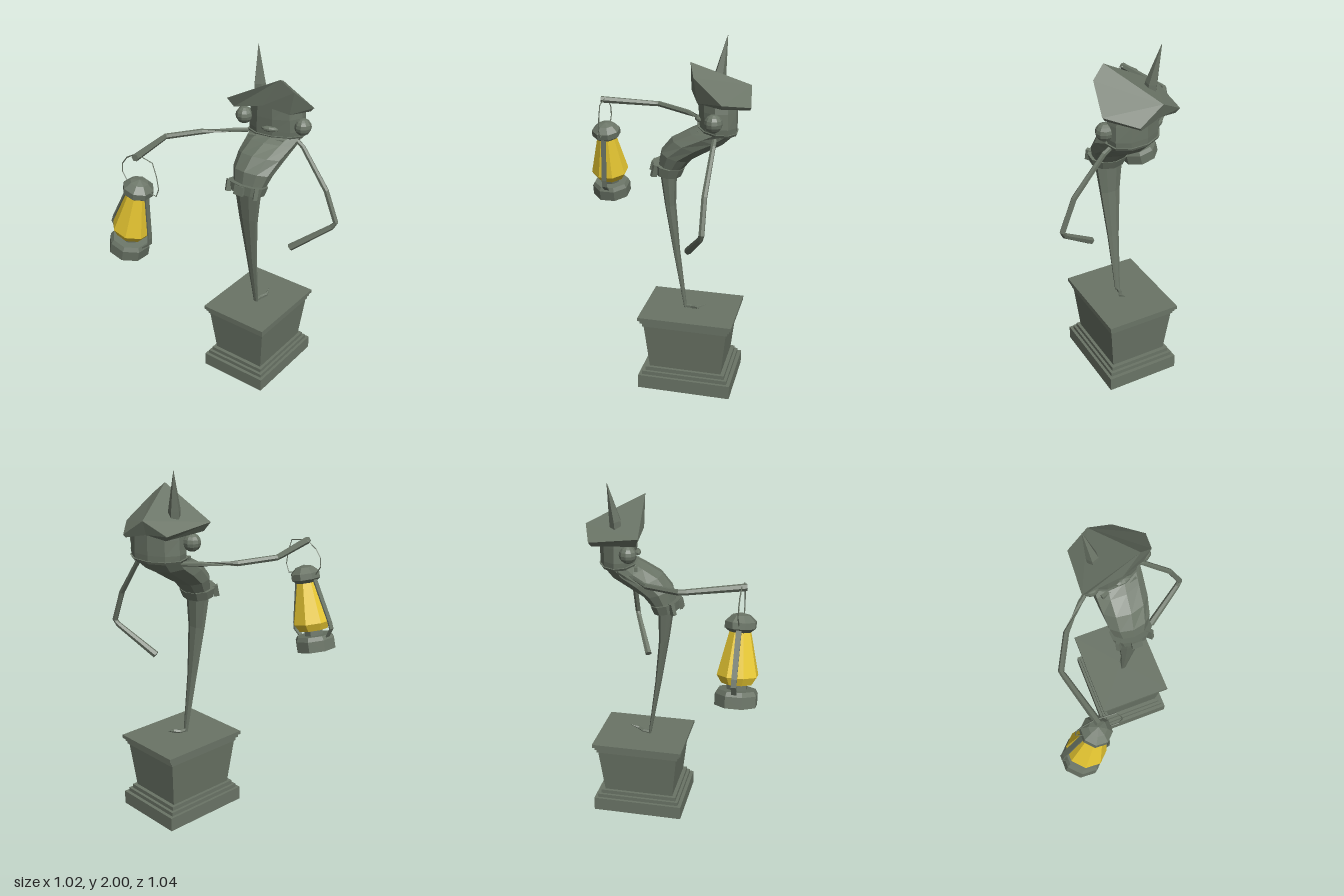
import * as THREE from 'three';

const stone = new THREE.MeshStandardMaterial({ color: 0x6a7466, flatShading: true, side: THREE.DoubleSide });
const glass = new THREE.MeshStandardMaterial({ color: 0xe8c832, flatShading: true, side: THREE.DoubleSide });
const V = (x, y, z) => new THREE.Vector3(x, y, z);

function add(parent, name, geometry, x = 0, y = 0, z = 0, material = stone) {
  const mesh = new THREE.Mesh(geometry, material);
  mesh.name = name;
  mesh.position.set(x, y, z);
  parent.add(mesh);
  return mesh;
}

// Skin a stack of equal-length rings and close both ends with fans
function loft(rings, topCentre) {
  const pos = [];
  const tri = (...pts) => pts.forEach(p => pos.push(p.x, p.y, p.z));
  const mid = ring => ring.reduce((s, p) => s.add(p), V(0, 0, 0)).divideScalar(ring.length);
  const n = rings[0].length, last = rings[rings.length - 1];
  const lowMid = mid(rings[0]), topMid = topCentre || mid(last);
  for (let i = 0; i < n; i++) {
    const j = (i + 1) % n;
    for (let k = 0; k + 1 < rings.length; k++) {
      const a = rings[k], b = rings[k + 1];
      tri(a[i], b[i], a[j]);
      tri(a[j], b[i], b[j]);
    }
    tri(lowMid, rings[0][i], rings[0][j]);
    tri(topMid, last[j], last[i]);
  }
  const g = new THREE.BufferGeometry();
  g.setAttribute('position', new THREE.Float32BufferAttribute(pos, 3));
  g.computeVertexNormals();
  return g;
}

// Elliptical ring, front edge raised by tilt, turned by yaw
function ring([x, y, z, rx, rz, tilt = 0, yaw = 0], n = 10) {
  return Array.from({ length: n }, (_, i) => {
    const a = (i + 0.5) / n * Math.PI * 2;
    return V(rx * Math.cos(a), 0, rz * Math.sin(a))
      .applyAxisAngle(V(1, 0, 0), -tilt).applyAxisAngle(V(0, 1, 0), yaw).add(V(x, y, z));
  });
}

// Jointed limb or wire: points with a radius at each one
function limb(points, radii, n = 6) {
  const p = points.map(q => V(...q));
  return loft(p.map((c, i) => {
    const t = p[Math.min(i + 1, p.length - 1)].clone().sub(p[Math.max(i - 1, 0)]).normalize();
    const ref = Math.abs(t.z) < 0.8 ? V(0, 0, 1) : V(0, 1, 0);
    const u = ref.cross(t).normalize(), w = u.clone().cross(t);
    const r = Array.isArray(radii) ? radii[i] : radii;
    return Array.from({ length: n }, (_, k) => {
      const a = k / n * Math.PI * 2;
      return c.clone().addScaledVector(u, r * Math.cos(a)).addScaledVector(w, r * Math.sin(a));
    });
  }));
}

// Rectangular frustum from half sizes at the bottom and top
function slab(y0, y1, x0, z0, x1 = x0, z1 = z0) {
  const corners = (x, y, z) => [V(x, y, -z), V(x, y, z), V(-x, y, z), V(-x, y, -z)];
  return loft([corners(x0, y0, z0), corners(x1, y1, z1)]);
}

function makePedestal() {
  const g = new THREE.Group();
  g.name = 'pedestal';
  g.position.set(0.07, 0, -0.205);
  add(g, 'plinth', slab(0, 0.08, 0.214, 0.267));
  add(g, 'lowerStep', slab(0.08, 0.102, 0.198, 0.247));
  add(g, 'upperStep', slab(0.102, 0.125, 0.183, 0.23));
  add(g, 'taperedBlock', slab(0.125, 0.395, 0.166, 0.208, 0.194, 0.237));
  add(g, 'capMoulding', slab(0.392, 0.412, 0.199, 0.245));
  add(g, 'capStep', slab(0.412, 0.432, 0.206, 0.256));
  add(g, 'capSlab', slab(0.43, 0.45, 0.214, 0.268));
  return g;
}

function makeHat() {
  const g = new THREE.Group();
  g.name = 'hat';
  // Rims run from the right-hand point round the front to the back
  const top = [[0.283, 1.70, -0.39], [0.25, 1.83, -0.235], [0.178, 1.895, -0.205], [-0.146, 1.725, -0.17],
    [-0.125, 1.685, -0.45], [0.005, 1.755, -0.5], [0.145, 1.665, -0.52]].map(p => V(...p));
  const low = [[0.265, 1.677, -0.385], [0.215, 1.69, -0.25], [0.08, 1.73, -0.19], [-0.113, 1.675, -0.19],
    [-0.105, 1.66, -0.44], [0.005, 1.68, -0.48], [0.135, 1.65, -0.513]].map(p => V(...p));
  add(g, 'foldedHat', loft([low, top], top[5]));
  add(g, 'hatSpike', limb([[-0.025, 1.7, -0.315], [-0.034, 1.79, -0.32], [-0.068, 2, -0.352]], [0.034, 0.034, 0.001], 5));
  return g;
}

function makeLantern() {
  const g = new THREE.Group();
  g.name = 'lantern';
  g.position.set(-0.402, 0.945, 0.41);
  g.rotation.z = -0.24;
  const turned = (name, profile, mat) => {
    const m = add(g, name, new THREE.LatheGeometry(profile.map(p => new THREE.Vector2(...p)), 8), 0, 0, 0, mat);
    m.rotation.y = Math.PI / 8;
  };
  turned('lanternBase', [[0, 0], [0.116, 0], [0.116, 0.062], [0.102, 0.085], [0.055, 0.085], [0.055, 0.118], [0, 0.118]]);
  turned('lanternGlass', [[0, 0.117], [0.085, 0.117], [0.112, 0.16], [0.057, 0.393], [0, 0.393]], glass);
  turned('lanternCap', [[0, 0.385], [0.055, 0.385], [0.085, 0.408], [0.085, 0.442], [0.05, 0.474], [0, 0.487]]);
  // Flat side guards
  for (const s of [-1, 1]) {
    const path = [[0.10, 0.07], [0.14, 0.118], [0.135, 0.16], [0.068, 0.41]];
    const outline = new THREE.Shape([...path, ...path.slice().reverse().map(([r, y]) => [r - 0.009, y])]
      .map(([r, y]) => new THREE.Vector2(s * r, y)));
    add(g, 'lanternGuard', new THREE.ExtrudeGeometry(outline, { depth: 0.028, bevelEnabled: false }), 0, 0, -0.014);
  }
  return g;
}

export function createModel() {
  const root = new THREE.Group();
  root.name = 'lanternSpirit';
  root.add(makePedestal(), makeHat(), makeLantern());

  // Tapering tail and its curled end
  add(root, 'tail', loft([
    [0.075, 0.45, -0.17, 0.016, 0.008], [0.075, 0.8, -0.115, 0.036, 0.018],
    [0.076, 1.08, -0.078, 0.062, 0.029, 0.1], [0.078, 1.27, -0.066, 0.085, 0.045, 0.2],
  ].map(s => ring(s, 8))));
  add(root, 'tailCurl', limb([[0.075, 0.456, -0.165], [0.08, 0.456, -0.21], [0.1, 0.464, -0.245], [0.09, 0.482, -0.29]],
    [0.01, 0.012, 0.01, 0.001], 5));

  // Backward-leaning torso
  add(root, 'torso', loft([
    [0.078, 1.27, -0.065, 0.09, 0.06, 0.22], [0.078, 1.37, -0.112, 0.122, 0.088, 0.28],
    [0.08, 1.435, -0.19, 0.137, 0.108, 0.32, 0.08], [0.08, 1.485, -0.28, 0.148, 0.105, 0.3, 0.18],
    [0.08, 1.525, -0.335, 0.155, 0.1, 0.12, 0.28],
  ].map(s => ring(s))));

  // Belt with buckle and loops
  add(root, 'belt', loft([[0.078, 1.26, -0.06, 0.105, 0.078, 0.23], [0.078, 1.312, -0.07, 0.12, 0.09, 0.23]].map(s => ring(s))));
  add(root, 'buckle', new THREE.BoxGeometry(0.06, 0.052, 0.016), 0.08, 1.302, 0.02).rotation.x = -0.23;
  for (const s of [-1, 1]) {
    const loop = add(root, 'beltLoop', new THREE.BoxGeometry(0.022, 0.066, 0.03), 0.078 + s * 0.092, 1.295, -0.012);
    loop.rotation.set(-0.23, s * 0.7, 0);
  }

  // Head, turned a little to its left
  add(root, 'head', loft([
    [0.08, 1.525, -0.34, 0.16, 0.1, 0.08, 0.29], [0.081, 1.56, -0.34, 0.165, 0.102, 0.05, 0.29],
    [0.082, 1.64, -0.337, 0.16, 0.105, 0, 0.29], [0.08, 1.72, -0.335, 0.15, 0.106, 0, 0.29],
  ].map(s => ring(s))));
  add(root, 'lip', loft([
    [0.08, 1.518, -0.338, 0.163, 0.104, 0.08, 0.29], [0.08, 1.532, -0.338, 0.172, 0.11, 0.08, 0.29],
  ].map(s => ring(s))));
  for (const [x, y, z] of [[-0.08, 1.618, -0.243], [0.245, 1.596, -0.342]])
    add(root, 'eye', new THREE.SphereGeometry(0.049, 10, 8), x, y, z);
  const nose = add(root, 'nose', new THREE.SphereGeometry(0.05, 8, 5), 0.1, 1.582, -0.235);
  nose.scale.set(1, 0.32, 0.4);
  nose.rotation.y = 0.29;
  for (const [x, z] of [[0.0, -0.222], [0.15, -0.248]])
    add(root, 'tooth', new THREE.BoxGeometry(0.06, 0.022, 0.02), x, 1.517, z).rotation.y = 0.29;

  // Arms: one bent at the side, one holding the lantern
  add(root, 'leftArm', limb([[0.19, 1.515, -0.345], [0.25, 1.475, -0.345], [0.42, 1.257, -0.337],
    [0.493, 1.075, -0.34], [0.475, 1.045, -0.33], [0.27, 0.885, -0.222]], [0.012, 0.014, 0.016, 0.016, 0.016, 0.021]));
  add(root, 'rightArm', limb([[-0.04, 1.508, -0.32], [-0.145, 1.51, -0.23], [-0.27, 1.515, -0.095],
    [-0.368, 1.53, 0.1], [-0.36, 1.532, 0.135], [-0.287, 1.556, 0.435]], [0.012, 0.014, 0.016, 0.016, 0.016, 0.02]));

  // Wire bail hanging from the hand
  add(root, 'lanternHandle', limb([[-0.37, 1.37, 0.41], [-0.41, 1.43, 0.41], [-0.405, 1.48, 0.41], [-0.37, 1.525, 0.41],
    [-0.3, 1.566, 0.41], [-0.19, 1.545, 0.41], [-0.165, 1.47, 0.41], [-0.155, 1.4, 0.41],
    [-0.175, 1.353, 0.41], [-0.22, 1.36, 0.41]], 0.0035, 4));
  return root;
}
